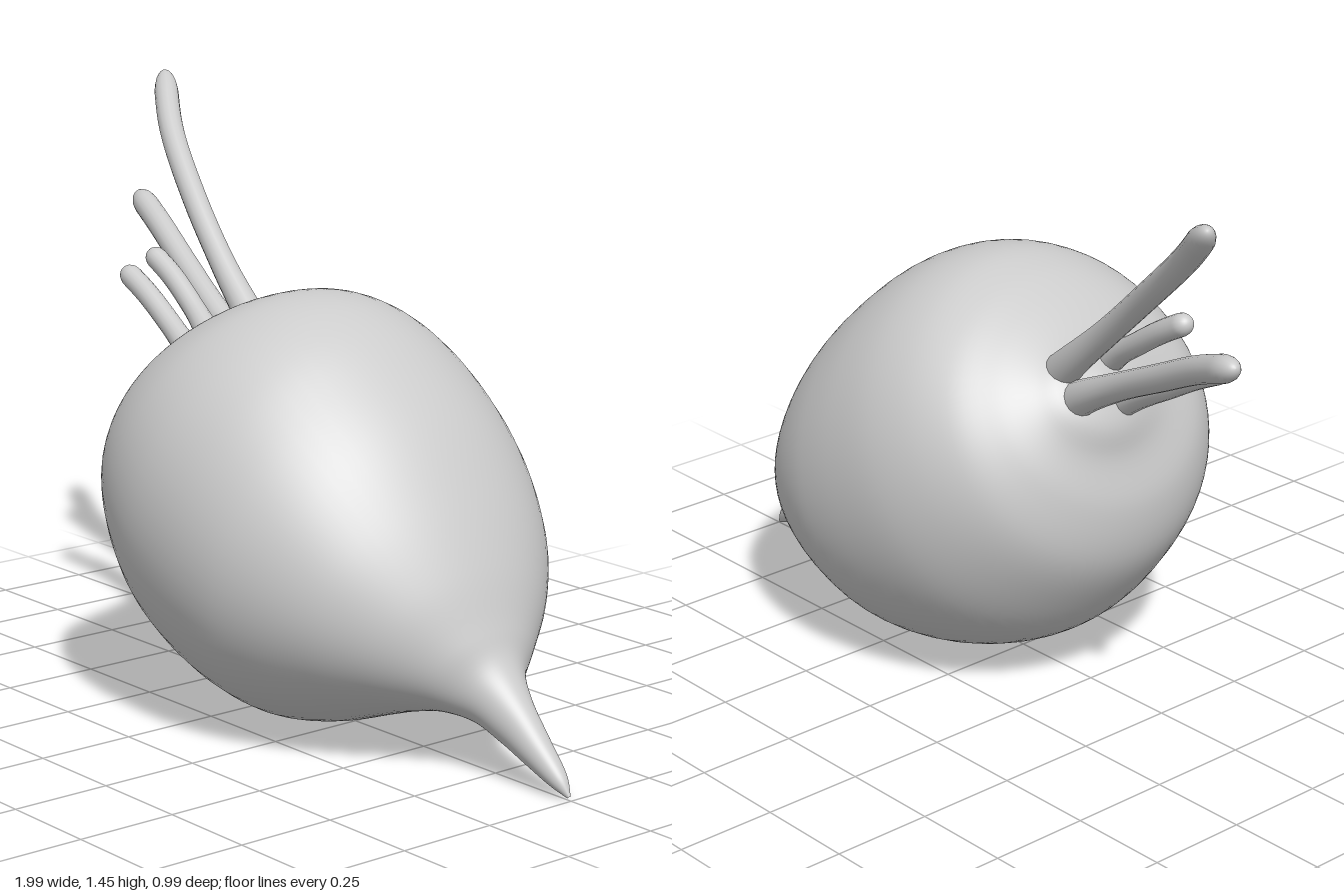
import * as THREE from 'three';

const material = new THREE.MeshStandardMaterial({ color: 0xcccccc, roughness: 0.8 });

// Closed-ring surface: point(t, angle) with t running along the part
function loft(name, rows, cols, point) {
  const pos = [], index = [];
  for (let i = 0; i <= rows; i++) {
    for (let j = 0; j < cols; j++) {
      pos.push(...point(i / rows, (j / cols) * Math.PI * 2).toArray());
      if (i === rows) continue;
      const k = (j + 1) % cols, a = i * cols, b = a + cols;
      index.push(a + j, a + k, b + j, a + k, b + k, b + j);
    }
  }
  const geo = new THREE.BufferGeometry();
  geo.setAttribute('position', new THREE.Float32BufferAttribute(pos, 3));
  geo.setIndex(index);
  geo.computeVertexNormals();
  const mesh = new THREE.Mesh(geo, material);
  mesh.name = name;
  return mesh;
}

const curve = (pts) => new THREE.CatmullRomCurve3(pts.map((p) => new THREE.Vector3(...p)));

// Cross-sections from crown to root tip: upper x, y, lower x, y, half depth, depth centre
const sections = [
  [-0.335, 0.845, -0.345, 0.835, 0.005, -0.05],
  [-0.27, 0.895, -0.39, 0.74, 0.11, -0.05],
  [-0.21, 0.925, -0.395, 0.65, 0.20, -0.025],
  [-0.12, 0.98, -0.42, 0.52, 0.305, 0],
  [-0.03, 1.02, -0.40, 0.38, 0.39, 0],
  [0.07, 1.04, -0.32, 0.25, 0.45, 0],
  [0.18, 1.025, -0.20, 0.125, 0.487, 0],
  [0.29, 0.975, -0.02, 0.035, 0.495, 0],
  [0.40, 0.89, 0.16, 0.002, 0.48, 0],
  [0.51, 0.78, 0.29, 0.022, 0.438, 0],
  [0.615, 0.63, 0.43, 0.07, 0.365, 0],
  [0.695, 0.48, 0.54, 0.107, 0.27, 0],
  [0.745, 0.35, 0.64, 0.128, 0.165, 0],
  [0.775, 0.28, 0.72, 0.118, 0.09, 0],
  [0.83, 0.21, 0.79, 0.088, 0.057, 0],
  [0.91, 0.125, 0.87, 0.053, 0.038, 0],
  [0.975, 0.055, 0.945, 0.022, 0.022, 0],
  [0.997, 0.012, 0.99, 0.006, 0.004, 0],
];

function makeBulb() {
  const upper = curve(sections.map((s) => [s[0], s[1], s[4]]));
  const lower = curve(sections.map((s) => [s[2], s[3], s[5]]));
  return loft('bulbWithRoot', 96, 64, (t, angle) => {
    const u = upper.getPoint(t), l = lower.getPoint(t);
    const c = Math.cos(angle) / 2;
    return new THREE.Vector3(
      (u.x + l.x) / 2 + (u.x - l.x) * c,
      (u.y + l.y) / 2 + (u.y - l.y) * c,
      l.z + u.z * Math.sin(angle),
    );
  });
}

// Stalk with a flared foot sunk into the crown and a rounded tip
function makeStalk(name, radius, foot, pts) {
  const path = curve(pts);
  const zAxis = new THREE.Vector3(0, 0, 1);
  return loft(name, 40, 16, (v, angle) => {
    const t = 1 - (1 - v) ** 2;
    const tip = Math.max(0, (t - 0.92) / 0.08);
    const flare = 1 + foot * Math.max(0, 1 - t / 0.5) ** 2;
    const r = radius * flare * Math.sqrt(Math.max(0, 1 - tip * tip));
    const tangent = path.getTangent(t);
    const n = new THREE.Vector3().crossVectors(tangent, zAxis).normalize();
    const b = new THREE.Vector3().crossVectors(tangent, n);
    return path.getPoint(t)
      .addScaledVector(n, r * Math.cos(angle))
      .addScaledVector(b, r * Math.sin(angle));
  });
}

export function createModel() {
  const group = new THREE.Group();
  group.name = 'rootVegetable';
  group.add(makeBulb());

  const stalks = new THREE.Group();
  stalks.name = 'stalks';
  stalks.add(
    makeStalk('tallStalk', 0.032, 0.9, [[-0.15, 0.75, -0.09], [-0.29, 0.875, -0.125], [-0.45, 1.01, -0.15], [-0.62, 1.155, -0.19], [-0.81, 1.31, -0.26], [-0.98, 1.445, -0.365]]),
    makeStalk('longStalk', 0.033, 0.9, [[-0.19, 0.71, -0.085], [-0.34, 0.81, -0.125], [-0.5, 0.895, -0.155], [-0.685, 0.985, -0.2], [-0.84, 1.06, -0.24], [-0.995, 1.12, -0.285]]),
    makeStalk('shortStalk', 0.029, 1.2, [[-0.22, 0.70, 0.02], [-0.38, 0.79, -0.005], [-0.52, 0.863, -0.03], [-0.63, 0.925, -0.04], [-0.735, 0.975, -0.045]]),
    makeStalk('smallStalk', 0.028, 1.2, [[-0.17, 0.75, 0.03], [-0.3, 0.865, 0.01], [-0.4, 0.93, -0.01], [-0.5, 0.995, -0.02], [-0.59, 1.045, -0.02]]),
  );
  group.add(stalks);
  return group;
}
